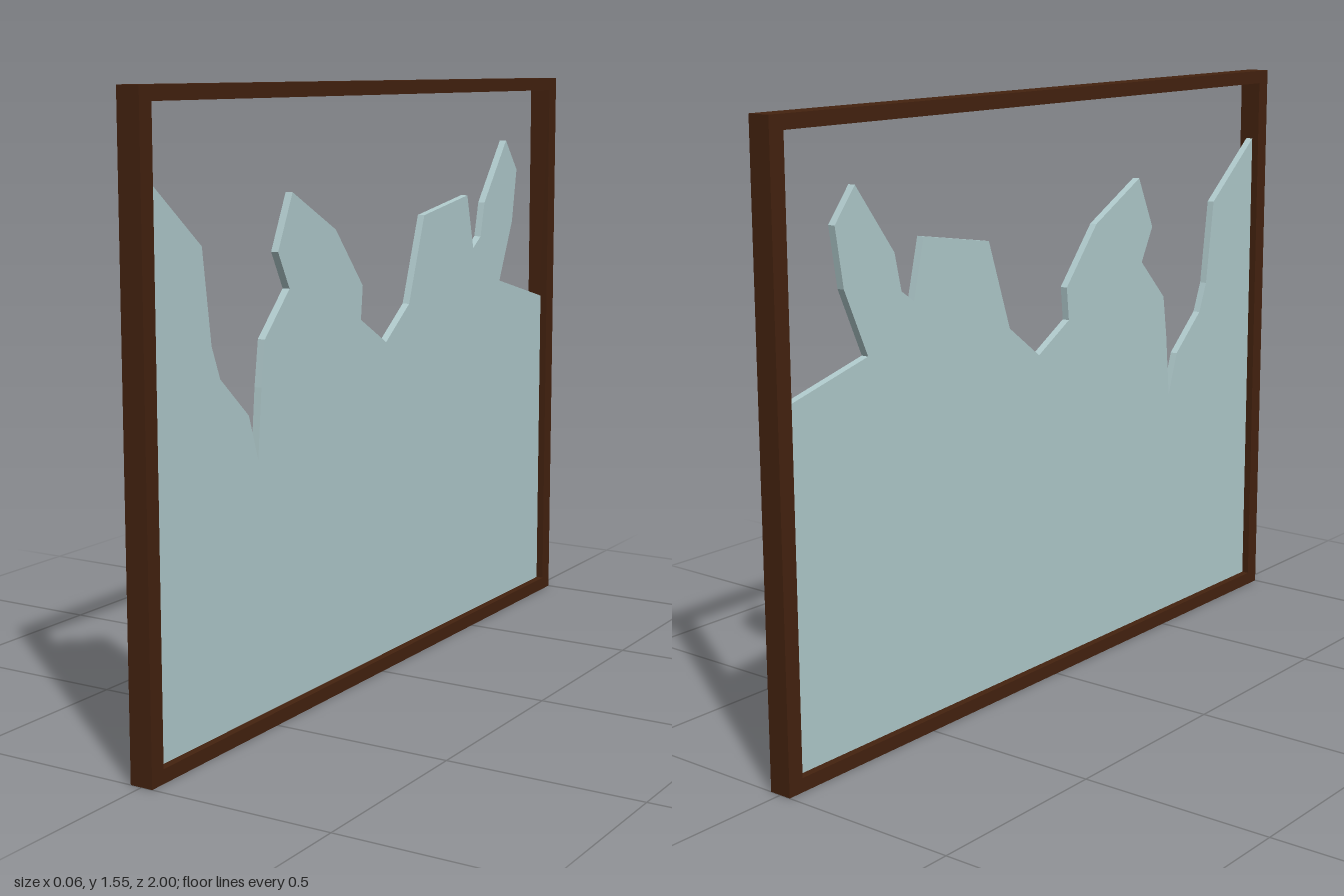
import * as THREE from 'three';

const WIDTH = 2, HEIGHT = 1.55, DEPTH = 0.06;
const POST = 0.043, RAIL = 0.035, GLASS = 0.02;

// Jagged upper edge of the broken pane as [z, y], front to back
const BREAK = [
  [0.957, 1.355], [0.757, 1.19], [0.725, 0.96], [0.693, 0.88], [0.58, 0.778],
  [0.543, 0.666], [0.527, 0.837], [0.511, 0.95], [0.404, 1.06], [0.452, 1.152],
  [0.388, 1.29], [0.195, 1.187], [0.067, 1.035], [0.076, 0.948], [-0.05, 0.875],
  [-0.169, 0.963], [-0.249, 1.193], [-0.49, 1.232], [-0.527, 1.083], [-0.57, 1.112],
  [-0.592, 1.206], [-0.72, 1.375], [-0.788, 1.29], [-0.763, 1.142], [-0.688, 0.976],
  [-0.957, 0.905],
];

export function createModel() {
  const wood = new THREE.MeshStandardMaterial({ color: 0x44220f });
  wood.name = 'dark wood';
  const glass = new THREE.MeshStandardMaterial({ color: 0xb0cacc });
  glass.name = 'pale glass';

  const model = new THREE.Group();
  model.name = 'brokenWindow';

  const addBar = (name, h, d, y, z) => {
    const bar = new THREE.Mesh(new THREE.BoxGeometry(DEPTH, h, d), wood);
    bar.name = name;
    bar.position.set(0, y, z);
    model.add(bar);
  };

  // Frame: two full-height posts with rails between them
  for (const [name, s] of [['frontPost', 1], ['backPost', -1]]) {
    addBar(name, HEIGHT, POST, HEIGHT / 2, s * (WIDTH - POST) / 2);
  }
  addBar('bottomRail', RAIL, WIDTH - 2 * POST, RAIL / 2, 0);
  addBar('topRail', RAIL, WIDTH - 2 * POST, HEIGHT - RAIL / 2, 0);

  // Broken pane: outline drawn along -z, extruded, then turned into the frame
  const edge = WIDTH / 2 - POST;
  const outline = [[edge, RAIL], ...BREAK, [-edge, RAIL]];
  const shape = new THREE.Shape(outline.map(([z, y]) => new THREE.Vector2(-z, y)));
  const geometry = new THREE.ExtrudeGeometry(shape, { depth: GLASS, bevelEnabled: false });
  geometry.translate(0, 0, -GLASS / 2).rotateY(Math.PI / 2);
  const pane = new THREE.Mesh(geometry, glass);
  pane.name = 'brokenPane';
  model.add(pane);

  return model;
}
